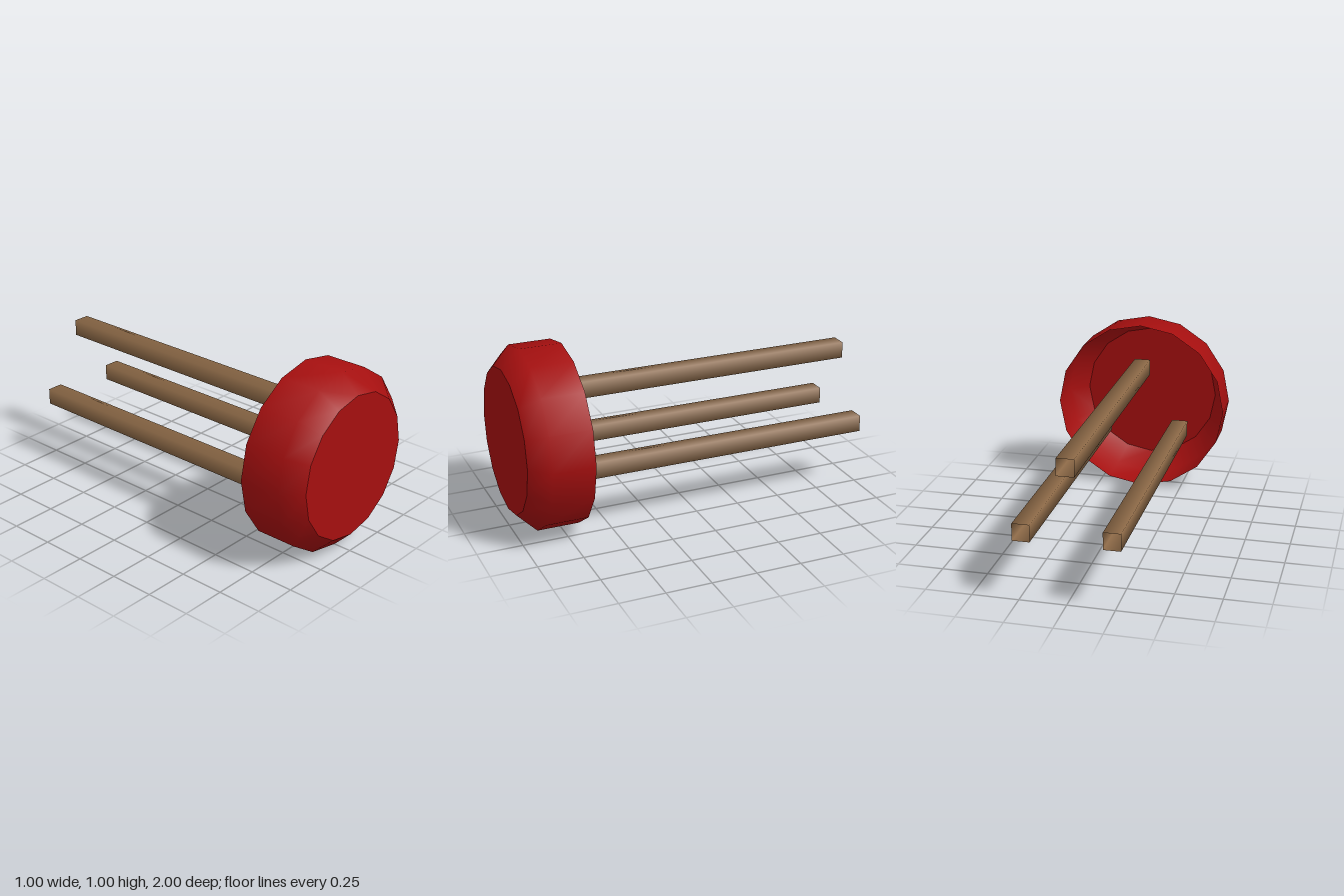
import * as THREE from 'three';

export function createModel() {
  const red = new THREE.MeshStandardMaterial({ color: 0xa50f0f, side: THREE.DoubleSide });
  red.name = 'cushion red';
  const brown = new THREE.MeshStandardMaterial({ color: 0x8b6846, side: THREE.DoubleSide });
  brown.name = 'wood brown';

  const model = new THREE.Group();
  model.name = 'stool';
  const add = (parent, name, geometry, material, x, y, z) => {
    const mesh = new THREE.Mesh(geometry, material);
    mesh.name = name;
    mesh.position.set(x, y, z);
    parent.add(mesh);
  };

  // Hollow cushion: smooth bevelled shell, open at the back, with a flat seat
  const cushion = new THREE.Group();
  cushion.name = 'cushion';
  model.add(cushion);
  const profile = [[0.5, 0.667], [0.5, 0.9], [0.4, 1]].map(([r, z]) => new THREE.Vector2(r, z));
  add(cushion, 'cushionSide', new THREE.LatheGeometry(profile, 16).rotateX(Math.PI / 2), red, 0, 0.5, 0);
  add(cushion, 'seat', new THREE.CircleGeometry(0.4, 16), red, 0, 0.5, 1);

  // Three square tube legs, open at the ends, with smooth normals
  const start = -1, end = 0.72, radius = 0.046 * Math.SQRT2;
  const legGeometry = new THREE.CylinderGeometry(radius, radius, end - start, 4, 1, true, Math.PI / 4)
    .rotateX(Math.PI / 2);
  const legs = [['topLeg', 0, 0.735], ['leftLeg', 0.233, 0.369], ['rightLeg', -0.233, 0.369]];
  for (const [name, x, y] of legs) add(model, name, legGeometry, brown, x, y, (start + end) / 2);

  return model;
}
